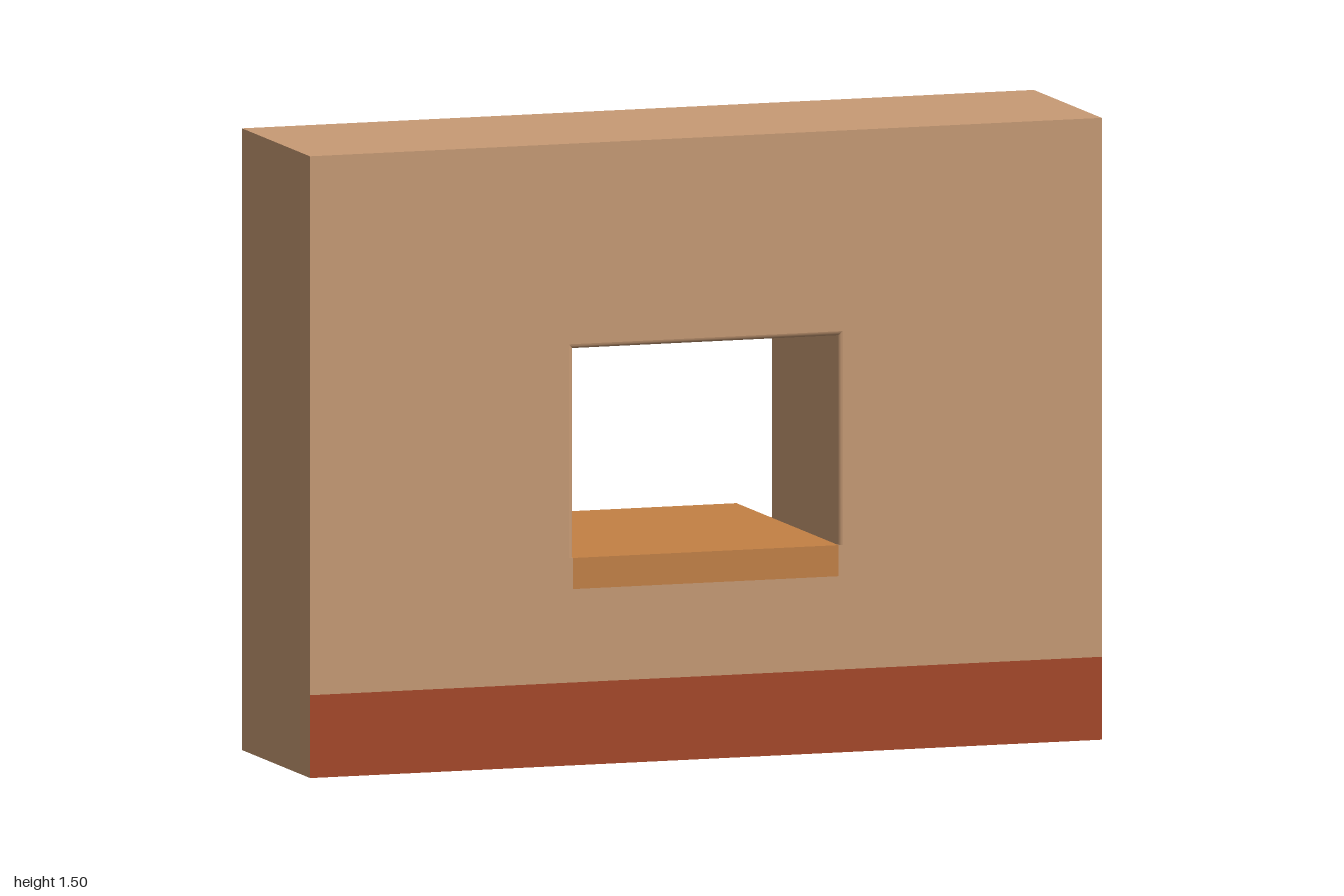
import * as THREE from 'three';

const material = (name, color) => Object.assign(new THREE.MeshStandardMaterial({ color }), { name });

const FRONT = 0.375, BACK = -0.125;   // wall faces
const HALF = 0.335, TOP = 1.005;      // clear opening
const SILL_TOP = 0.5, SILL_BOTTOM = 0.425;
const ROUND = 0.011;                  // rounding of the opening's edges

// Outline of the opening's jambs and head, grown outward by an offset
const outline = (o) => [
  [-HALF - o, SILL_TOP], [-HALF - o, TOP + o], [HALF + o, TOP + o], [HALF + o, SILL_TOP],
];

// One smooth strip per side of the opening, with rounded front and back edges
function revealSide(side) {
  const profile = [];
  const steps = 4;
  for (let i = 0; i <= steps; i++) {
    const a = (i / steps) * Math.PI / 2;
    profile.push([ROUND * (1 - Math.sin(a)), FRONT - ROUND * (1 - Math.cos(a))]);
  }
  for (let i = steps; i >= 0; i--) {
    const [offset, z] = profile[i];
    profile.push([offset, FRONT + BACK - z]);
  }
  const positions = [], index = [];
  profile.forEach(([offset, z], i) => {
    const points = outline(offset);
    positions.push(...points[side], z, ...points[side + 1], z);
    if (i > 0) {
      const a = 2 * i - 2;
      index.push(a, a + 2, a + 1, a + 1, a + 2, a + 3);
    }
  });
  const geometry = new THREE.BufferGeometry();
  geometry.setAttribute('position', new THREE.Float32BufferAttribute(positions, 3));
  geometry.setIndex(index);
  geometry.computeVertexNormals();
  return geometry;
}

export function createModel() {
  const model = new THREE.Group();
  model.name = 'wallWithOpening';
  const plaster = material('tan plaster', 0xc89b75);
  const wood = material('orange wood', 0xc48144);
  const brick = material('brick red', 0xa64522);
  plaster.side = THREE.DoubleSide;

  const add = (name, geometry, mat, x = 0, y = 0, z = 0) => {
    const mesh = new THREE.Mesh(geometry, mat);
    mesh.name = name;
    mesh.position.set(x, y, z);
    model.add(mesh);
  };

  // Wall with a hole for the opening and the sill below it
  const shape = new THREE.Shape([[-1, 0], [1, 0], [1, 1.5], [-1, 1.5]].map((p) => new THREE.Vector2(...p)));
  const hole = [[-HALF, SILL_BOTTOM], [-HALF, SILL_TOP], ...outline(ROUND), [HALF, SILL_TOP], [HALF, SILL_BOTTOM]];
  shape.holes.push(new THREE.Path(hole.map((p) => new THREE.Vector2(...p))));
  add('wall', new THREE.ExtrudeGeometry(shape, { depth: FRONT - BACK, bevelEnabled: false }), plaster, 0, 0, BACK);

  // Rounded lining of the opening
  ['rightJamb', 'head', 'leftJamb'].forEach((name, i) => add(name, revealSide(i), plaster));

  // Sill board, flush in front and projecting at the back
  add('sill', new THREE.BoxGeometry(2 * HALF, SILL_TOP - SILL_BOTTOM, 0.75), wood, 0, (SILL_TOP + SILL_BOTTOM) / 2, 0);

  // Painted band along the foot of the front face
  add('baseBand', new THREE.PlaneGeometry(2, 0.2), brick, 0, 0.1, FRONT + 0.002);

  return model;
}
